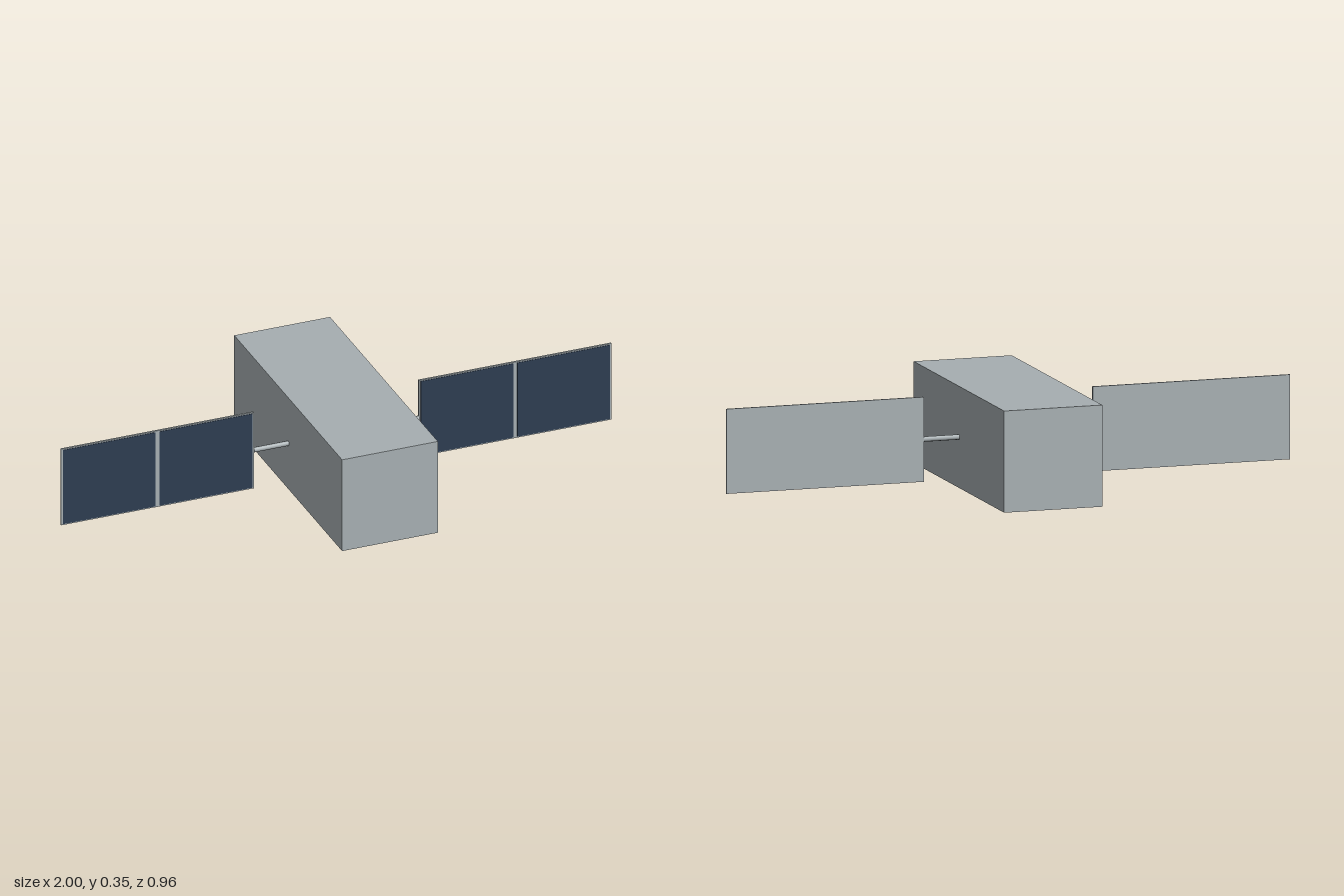
import * as THREE from 'three';

export function createModel() {
  const model = new THREE.Group();
  model.name = 'satellite';

  const hull = new THREE.MeshStandardMaterial({ color: 0xa6aeb1 });
  hull.name = 'hull grey';
  const cell = new THREE.MeshStandardMaterial({ color: 0x2d3c50 });
  cell.name = 'solar cell navy';

  const midY = 0.174;

  function box(name, material, size, position, parent) {
    const mesh = new THREE.Mesh(new THREE.BoxGeometry(...size), material);
    mesh.name = name;
    mesh.position.set(...position);
    parent.add(mesh);
    return mesh;
  }

  // Main bus
  box('body', hull, [0.348, 0.348, 0.96], [0, midY, 0], model);

  // One wing per side: boom, backing panel and two cell plates facing the front
  for (const side of [1, -1]) {
    const wing = new THREE.Group();
    wing.name = side > 0 ? 'leftWing' : 'rightWing';
    wing.position.y = midY;
    model.add(wing);

    const boom = new THREE.Mesh(new THREE.CylinderGeometry(0.009, 0.009, 0.135, 8), hull);
    boom.name = 'boom';
    boom.rotation.z = Math.PI / 2;
    boom.position.x = side * 0.2325;
    wing.add(boom);

    box('panel', hull, [0.7, 0.29, 0.007], [side * 0.65, 0, -0.0005], wing);
    for (const offset of [-0.1755, 0.1755]) {
      box('solarCell', cell, [0.337, 0.282, 0.002], [side * 0.65 + offset, 0, 0.0033], wing);
    }
  }

  return model;
}
